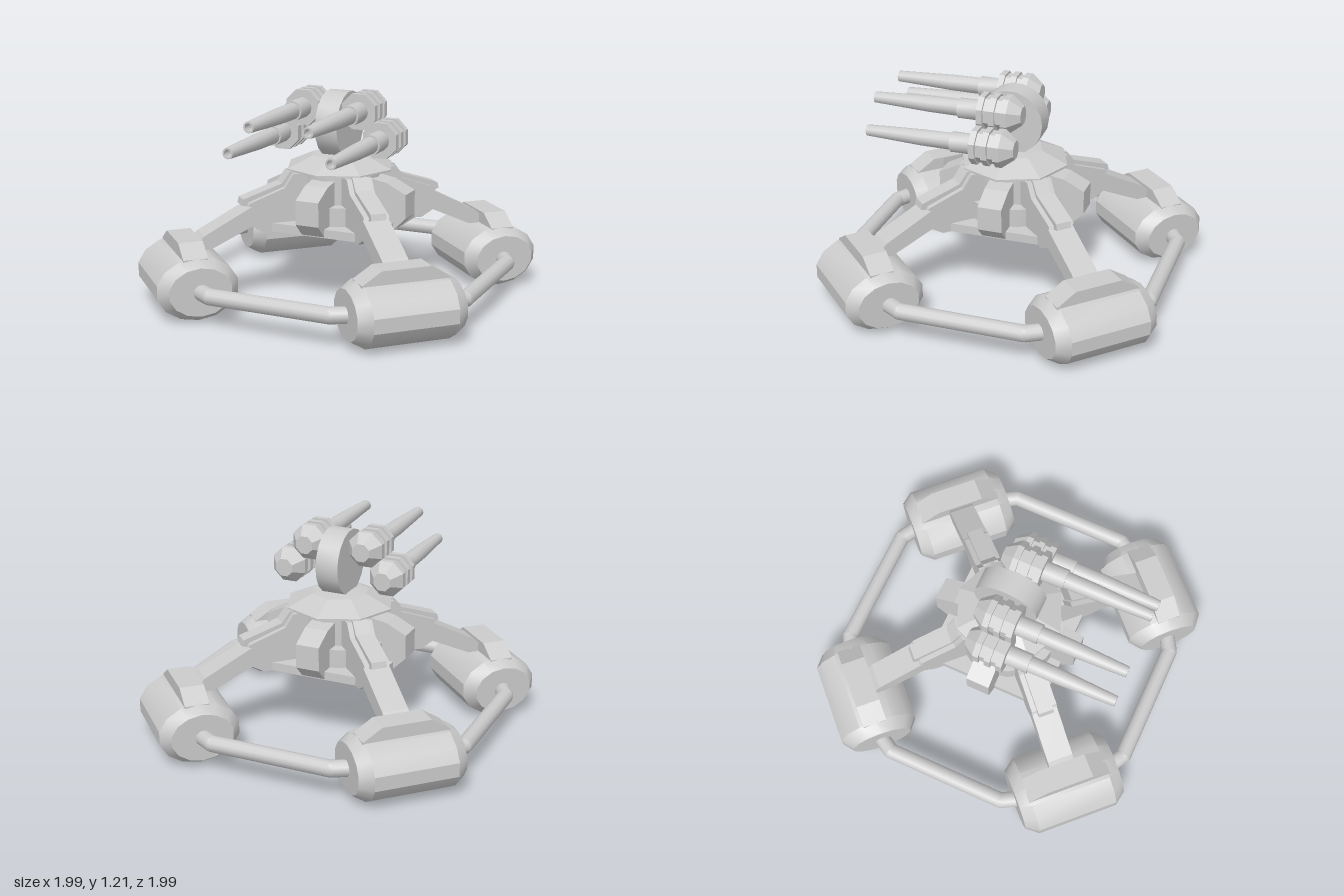
import * as THREE from 'three';
import { toCreasedNormals } from 'three/addons/utils/BufferGeometryUtils.js';

const grey = new THREE.MeshStandardMaterial({ color: 0xcccccc });
const faceted = new THREE.MeshStandardMaterial({ color: 0xcccccc, flatShading: true });

function add(parent, name, geometry, material = faceted) {
  const mesh = new THREE.Mesh(geometry, material);
  mesh.name = name;
  parent.add(mesh);
  return mesh;
}

// Side profile in x/y, extruded symmetrically along z
function slab(points, width) {
  const shape = new THREE.Shape(points.map(p => new THREE.Vector2(...p)));
  return new THREE.ExtrudeGeometry(shape, { depth: width, bevelEnabled: false })
    .translate(0, 0, -width / 2);
}

// Turned solid, profile as [radius, height] from bottom to top
function turned(points, sides) {
  return new THREE.LatheGeometry(points.map(p => new THREE.Vector2(...p)), sides);
}

// Round bar between two points
function bar(parent, name, a, b, radius) {
  const dir = b.clone().sub(a);
  const geo = new THREE.CylinderGeometry(radius, radius, dir.length(), 12);
  const mesh = add(parent, name, geo, grey);
  mesh.position.copy(a).add(b).multiplyScalar(0.5);
  mesh.quaternion.setFromUnitVectors(new THREE.Vector3(0, 1, 0), dir.normalize());
}

// One leg along local +x, with its roller and fender
function makeLeg() {
  const leg = new THREE.Group();
  leg.name = 'leg';
  add(leg, 'legArm', slab([
    [0.1, 0.42], [0.49, 0.42], [0.56, 0.46], [0.8, 0.35], [0.92, 0.35], [0.84, 0.43],
    [0.56, 0.575], [0.58, 0.58], [0.57, 0.595], [0.36, 0.67], [0.31, 0.745], [0.1, 0.745],
  ], 0.15));
  add(leg, 'kneePlate', slab([
    [0.3, 0.66], [0.56, 0.57], [0.61, 0.58], [0.6, 0.615], [0.37, 0.69], [0.32, 0.755], [0.3, 0.755],
  ], 0.09));

  // Oval roller with chamfered ends
  const roller = turned([[0, -0.31], [0.18, -0.31], [0.235, -0.24],
    [0.235, 0.24], [0.18, 0.31], [0, 0.31]], 14);
  roller.rotateX(Math.PI / 2).scale(1, 0.77, 1).translate(0.925, 0.182, 0);
  add(leg, 'roller', toCreasedNormals(roller, 0.55), grey);

  // Fender over the roller
  const fender = slab([[-0.25, 0.27], [0.25, 0.27], [0.25, 0.355], [0.14, 0.425],
    [-0.14, 0.425], [-0.25, 0.355]], 0.14);
  add(leg, 'fender', fender.rotateY(Math.PI / 2).translate(0.935, 0, 0));
  return leg;
}

// One gun pointing along +z: ribbed octagonal housing, collar and hollow barrel
function makeGun(x, y) {
  const gun = new THREE.Group();
  gun.name = 'gun';
  const R = 0.109, r = 0.094;
  const housing = turned([[0, -0.11], [0.055, -0.11], [R, -0.04], [R, -0.005], [r, -0.005],
    [r, 0.03], [R, 0.03], [R, 0.065], [r, 0.065], [r, 0.1], [R, 0.1], [R, 0.135], [0, 0.135]], 8);
  add(gun, 'gunHousing', housing.rotateY(Math.PI / 8).rotateX(Math.PI / 2));
  const barrel = turned([[0, 0.12], [0.058, 0.12], [0.058, 0.265], [0.048, 0.265],
    [0.046, 0.45], [0.032, 0.778], [0.022, 0.778], [0.02, 0.72], [0, 0.72]], 12);
  add(gun, 'barrel', toCreasedNormals(barrel.rotateX(Math.PI / 2), 0.55), grey);
  gun.position.set(x, y, 0);
  return gun;
}

export function createModel() {
  const model = new THREE.Group();
  model.name = 'walkerTurret';

  // Hull: base plate, two drums and the faceted dome
  add(model, 'basePlate', new THREE.BoxGeometry(0.73, 0.05, 0.73)).position.y = 0.445;
  const lower = new THREE.CylinderGeometry(0.31, 0.31, 0.155, 16).translate(0, 0.5, 0);
  add(model, 'lowerDrum', toCreasedNormals(lower, 0.55), grey);
  const upper = new THREE.CylinderGeometry(0.24, 0.24, 0.19, 16).translate(0, 0.665, 0);
  add(model, 'upperDrum', toCreasedNormals(upper, 0.55), grey);
  add(model, 'dome', turned([[0, 0.745], [0.32, 0.75], [0.32, 0.762], [0.17, 0.828], [0, 0.845]], 8));

  for (let i = 0; i < 4; i++) {
    const quarter = (i * Math.PI) / 2;

    // Corner legs
    const leg = makeLeg();
    leg.rotation.y = quarter + Math.PI / 4;
    model.add(leg);

    // Wedge pods on the flat sides
    const pod = add(model, 'sidePod', slab([[0.2, 0.42], [0.36, 0.42], [0.44, 0.5],
      [0.44, 0.64], [0.32, 0.7], [0.2, 0.72]], 0.14));
    pod.rotation.y = quarter;

    // Bent rail between neighbouring rollers
    const rail = new THREE.Group();
    rail.name = 'rail';
    const path = [[-0.48, 0.84], [-0.36, 0.91], [0.36, 0.91], [0.48, 0.84]]
      .map(([x, z]) => new THREE.Vector3(x, 0.18, z));
    for (let k = 0; k < 3; k++) bar(rail, 'railBar', path[k], path[k + 1], 0.047);
    for (const p of [path[1], path[2]])
      add(rail, 'railElbow', new THREE.SphereGeometry(0.047, 12, 8), grey).position.copy(p);
    rail.rotation.y = quarter;
    model.add(rail);
  }

  // Upright disc carrying the guns
  const disc = new THREE.CylinderGeometry(0.192, 0.192, 0.135, 18).rotateZ(Math.PI / 2);
  add(model, 'gunMount', toCreasedNormals(disc.translate(0, 1.008, 0.005), 0.55), grey);
  for (const side of [-1, 1]) {
    model.add(makeGun(side * 0.175, 1.108));
    model.add(makeGun(side * 0.305, 0.955));
  }
  return model;
}
